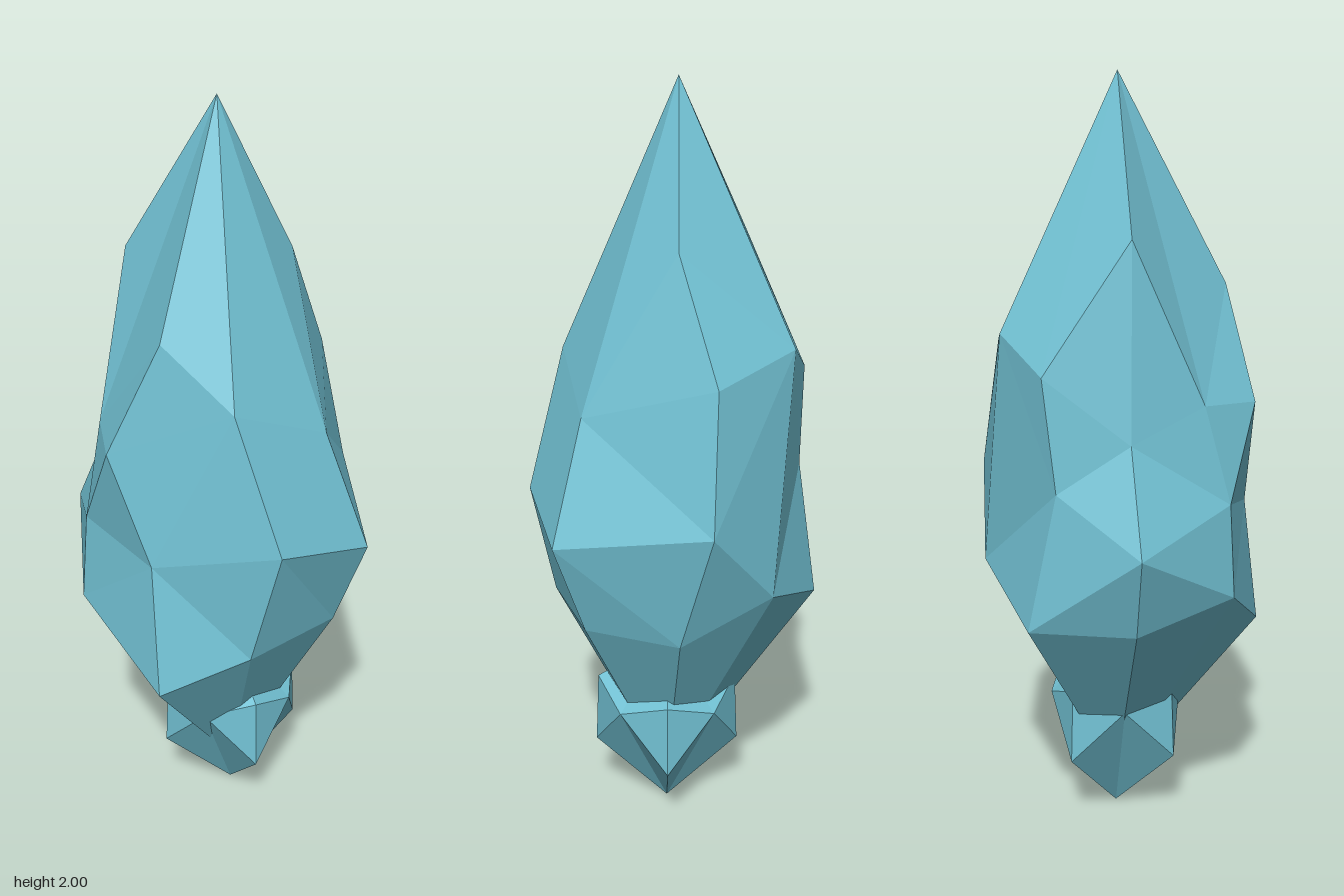
import * as THREE from 'three';

// Closes a faceted stone from columns of points running top to bottom,
// stitching neighbouring columns along the shorter diagonal.
function facetedStone(top, columns, bottom) {
  const cols = columns.map((c) => [top, ...c, bottom].map((p) => new THREE.Vector3(...p)));
  const points = [];
  cols.forEach((a, k) => {
    const b = cols[(k + 1) % cols.length];
    let i = 0, j = 0;
    while (i < a.length - 1 || j < b.length - 1) {
      const da = i < a.length - 1 ? a[i + 1].distanceTo(b[j]) : Infinity;
      const db = j < b.length - 1 ? b[j + 1].distanceTo(a[i]) : Infinity;
      const tri = da <= db ? [a[i], a[++i], b[j]] : [a[i], b[j + 1], b[j++]];
      const area = new THREE.Triangle(...tri).getArea();
      if (area > 1e-6) points.push(...tri);
    }
  });
  const geometry = new THREE.BufferGeometry().setFromPoints(points);
  geometry.computeVertexNormals(); // unshared corners give flat facets
  return geometry;
}

export function createModel() {
  const group = new THREE.Group();
  group.name = 'crystal';
  const crystalBlue = new THREE.MeshStandardMaterial({ color: 0x72c2d4, flatShading: true });
  crystalBlue.name = 'crystalBlue';

  // Large pointed shard: eight irregular columns around the axis
  const shardColumns = [
    [[-0.26, 1.6, -0.02], [-0.32, 1.11, -0.03], [-0.43, 0.85, -0.02], [-0.35, 0.63, -0.02]], // -x side
    [[-0.25, 1.19, 0.165], [-0.265, 0.94, 0.23], [-0.28, 0.7, 0.24]],
    [[-0.025, 1.47, 0.26], [-0.15, 1.18, 0.315], [-0.03, 0.89, 0.32], [0.01, 0.54, 0.37]], // front
    [[0.16, 1.31, 0.24], [0.29, 0.95, 0.24], [0.21, 0.63, 0.24]],
    [[0.31, 1.2, 0.01], [0.43, 0.89, -0.005], [0.34, 0.64, -0.02]], // +x side
    [[0.14, 1.61, -0.16], [0.17, 1.31, -0.32], [0.23, 0.96, -0.365], [0.227, 0.63, -0.25]],
    [[-0.1, 1.36, -0.33], [0.015, 0.74, -0.375]], // back
    [[-0.25, 1.27, -0.24], [-0.28, 0.985, -0.21], [-0.273, 0.63, -0.283]],
  ];
  const shard = new THREE.Mesh(
    facetedStone([-0.005, 2, -0.02], shardColumns, [0.04, 0.08, -0.02]), crystalBlue);
  shard.name = 'mainShard';
  group.add(shard);

  // Small root stone: regular, alternating side and corner columns
  const rootColumns = [];
  for (let k = 0; k < 8; k++) {
    const angle = (k * Math.PI) / 4;
    const at = (r, y) => [r * Math.sin(angle), y, r * Math.cos(angle)];
    rootColumns.push(k % 2 ? [at(0.19, 0.39), at(0.198, 0.19)] : [at(0.18, 0.34)]);
  }
  const root = new THREE.Mesh(facetedStone([0, 0.5, 0], rootColumns, [0, 0, 0]), crystalBlue);
  root.name = 'rootStone';
  root.position.set(0.04, 0, -0.02);
  group.add(root);

  return group;
}
